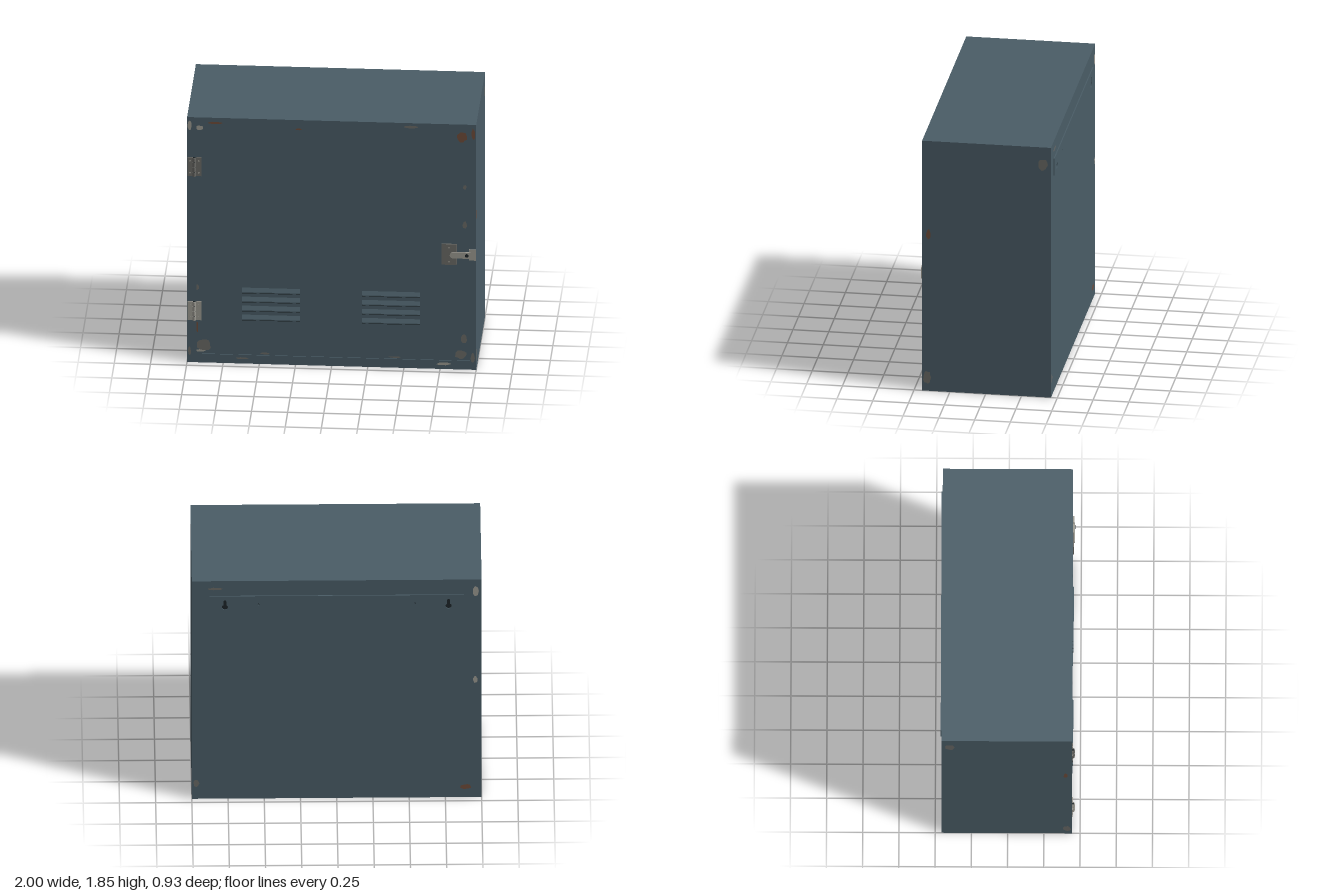
import * as THREE from 'three';

const W = 2, H = 1.85, BACK = -0.456, DOOR = 0.438, FRONT = 0.444;
const mat = (color) => new THREE.MeshStandardMaterial({ color });
const paint = mat(0x4a5d67), steel = mat(0x6a6a66), bright = mat(0x9c9a92);
const rust = mat(0x6e4c3a), dark = mat(0x1c2428);

function add(parent, name, geometry, material, x = 0, y = 0, z = 0) {
  const mesh = new THREE.Mesh(geometry, material);
  mesh.name = name;
  mesh.position.set(x, y, z);
  parent.add(mesh);
  return mesh;
}

// Box given by its limits
function block(parent, name, material, x0, x1, y0, y1, z0, z1) {
  return add(parent, name, new THREE.BoxGeometry(x1 - x0, y1 - y0, z1 - z0), material,
    (x0 + x1) / 2, (y0 + y1) / 2, (z0 + z1) / 2);
}

function group(parent, name) {
  const g = new THREE.Group();
  g.name = name;
  parent.add(g);
  return g;
}

function rect(x0, x1, y0, y1, Type = THREE.Shape) {
  return new Type([[x0, y0], [x1, y0], [x1, y1], [x0, y1]].map(p => new THREE.Vector2(...p)));
}

const extrude = (shape, depth) =>
  new THREE.ExtrudeGeometry(shape, { depth, bevelEnabled: false, curveSegments: 12 });

let seed = 7;
const random = () => (seed = (seed * 16807) % 2147483647) / 2147483647;

// Ragged flat flake of worn paint, facing +z
function flake(parent, material, x, y, w, h, z) {
  const points = [];
  for (let i = 0; i < 14; i++) {
    const a = i / 14 * Math.PI * 2, r = 0.42 + 0.16 * random();
    points.push(new THREE.Vector2(Math.cos(a) * w * r, Math.sin(a) * h * r));
  }
  add(parent, 'wornPaint', new THREE.ShapeGeometry(new THREE.Shape(points)), material, x, y, z);
}

function screw(parent, x, y, z) {
  add(parent, 'screw', new THREE.CylinderGeometry(0.006, 0.006, 0.003, 8), bright, x, y, z).rotation.x = Math.PI / 2;
}

// Hinge: two leaves, knuckled barrel, screws
function hinge(parent, y, material) {
  const g = group(parent, 'hinge');
  block(g, 'frameLeaf', material, -0.998, -0.953, y - 0.07, y + 0.07, DOOR, 0.449);
  block(g, 'doorLeaf', material, -0.947, -0.9, y - 0.07, y + 0.07, DOOR, 0.449);
  for (let i = 0; i < 4; i++)
    add(g, 'knuckle', new THREE.CylinderGeometry(0.012, 0.012, 0.032, 12), material, -0.95, y + (i - 1.5) * 0.036, 0.451);
  add(g, 'pin', new THREE.CylinderGeometry(0.008, 0.008, 0.145, 10), dark, -0.95, y, 0.451);
  for (const x of [-0.98, -0.918])
    for (const dy of [-0.045, 0.045]) screw(g, x, y + dy, 0.45);
}

// Keyhole outline: wide round below, narrow slot above
function keyhole(x, y) {
  const p = new THREE.Path();
  p.absarc(x, y, 0.021, Math.PI * 0.65, Math.PI * 2.35, false);
  p.lineTo(x + 0.0095, y + 0.05);
  p.absarc(x, y + 0.05, 0.0095, 0, Math.PI, false);
  p.closePath();
  return p;
}

export function createModel() {
  const model = new THREE.Group();
  model.name = 'wallCabinet';

  // Case with a raised frame around the door
  block(model, 'case', paint, -W / 2, W / 2, 0, H, BACK, DOOR);
  const frame = rect(-W / 2, W / 2, 0, H);
  frame.holes.push(rect(-0.935, 0.96, 0.065, 1.79, THREE.Path));
  add(model, 'doorFrame', extrude(frame, FRONT - DOOR), paint, 0, 0, DOOR);

  // Louvres: sloping hoods open at the bottom
  const hood = new THREE.Shape([[0, 0.018], [-0.012, -0.01], [-0.012, -0.017], [0, -0.017]]
    .map(p => new THREE.Vector2(...p)));
  for (const x of [-0.62, 0.21]) {
    const vents = group(model, 'ventLouvres');
    for (let i = 0; i < 4; i++) {
      const y = 0.553 - i * 0.068;
      add(vents, 'louvre', extrude(hood, 0.4), paint, x, y, DOOR).rotation.y = Math.PI / 2;
      block(vents, 'louvreSlot', dark, x, x + 0.4, y - 0.021, y - 0.016, DOOR, DOOR + 0.01);
    }
  }

  hinge(model, 1.478, steel);
  hinge(model, 0.39, bright);

  // Hasp latch
  const latch = group(model, 'latch');
  block(latch, 'latchPlate', steel, 0.76, 0.865, 0.79, 0.945, DOOR, 0.449);
  block(latch, 'haspBar', bright, 0.835, 0.96, 0.842, 0.888, 0.444, 0.456);
  add(latch, 'haspEnd', new THREE.CylinderGeometry(0.023, 0.023, 0.012, 16), bright, 0.84, 0.865, 0.45).rotation.x = Math.PI / 2;
  block(latch, 'catch', bright, 0.952, 0.998, 0.828, 0.91, 0.444, 0.453);
  add(latch, 'rivet', new THREE.CylinderGeometry(0.013, 0.013, 0.006, 12), dark, 0.935, 0.865, 0.456).rotation.x = Math.PI / 2;
  for (const y of [0.815, 0.92]) screw(latch, 0.812, y, 0.45);

  // Rear mounting rail with keyholes and screw holes
  const rear = group(model, 'rear');
  rear.rotation.y = Math.PI;
  const rail = rect(-0.877, 0.877, 1.6, 1.725);
  for (const s of [-1, 1]) {
    rail.holes.push(keyhole(s * 0.772, 1.632));
    const hole = new THREE.Path();
    hole.absarc(s * 0.54, 1.655, 0.007, 0, Math.PI * 2, false);
    rail.holes.push(hole);
    block(rear, 'keyholeBacking', dark, s * 0.772 - 0.03, s * 0.772 + 0.03, 1.607, 1.7, 0.455, 0.457);
    block(rear, 'screwHoleBacking', dark, s * 0.54 - 0.01, s * 0.54 + 0.01, 1.645, 1.665, 0.455, 0.457);
  }
  add(rear, 'mountingRail', extrude(rail, 0.007), paint, 0, 0, 0.456);

  // Worn paint on the front
  const wear = group(model, 'frontWear');
  [
    [bright, -0.982, 1.79, 0.028, 0.07], [bright, -0.915, 1.77, 0.05, 0.035], [rust, -0.81, 1.812, 0.1, 0.016],
    [rust, -0.23, 1.778, 0.05, 0.012], [steel, 0.55, 1.822, 0.1, 0.02], [rust, 0.9, 1.752, 0.07, 0.075],
    [rust, 0.98, 1.78, 0.025, 0.08], [steel, 0.92, 1.375, 0.025, 0.035], [steel, 0.92, 1.09, 0.028, 0.055],
    [steel, -0.93, 0.565, 0.022, 0.045], [rust, -0.93, 0.265, 0.014, 0.08], [steel, -0.885, 0.13, 0.095, 0.085],
    [bright, -0.905, 0.088, 0.065, 0.02], [steel, -0.62, 0.04, 0.09, 0.014], [steel, -0.46, 0.078, 0.06, 0.014],
    [steel, 0.44, 0.078, 0.085, 0.014], [bright, 0.775, 0.04, 0.1, 0.02], [steel, 0.895, 0.11, 0.08, 0.07],
    [steel, 0.977, 0.09, 0.028, 0.07], [steel, 0.915, 0.23, 0.038, 0.065], [steel, -0.983, 0.085, 0.02, 0.06],
  ].forEach(([m, x, y, w, h]) => {
    const onDoor = x > -0.935 && x < 0.96 && y > 0.065 && y < 1.79;
    flake(wear, m, x, y, w, h, (onDoor ? DOOR : FRONT) + 0.0015);
  });

  // Worn paint on the back
  [
    [bright, 0.96, 1.75, 0.04, 0.085], [bright, 0.955, 1, 0.03, 0.06], [rust, 0.89, 0.09, 0.08, 0.04],
    [steel, -0.97, 0.13, 0.04, 0.06], [steel, -0.84, 1.785, 0.1, 0.02],
  ].forEach(([m, x, y, w, h]) => flake(rear, m, x, y, w, h, 0.4575));

  // Worn paint on both sides
  for (const s of [-1, 1]) {
    const side = group(model, s > 0 ? 'leftWear' : 'rightWear');
    side.rotation.y = s * Math.PI / 2;
    [[steel, 0.4, 1.72, 0.065, 0.09], [rust, -0.4, 1.16, 0.03, 0.08], [steel, -0.41, 0.1, 0.055, 0.09]]
      .forEach(([m, x, y, w, h]) => flake(side, m, s * x, y, w, h, 1.001));
  }
  return model;
}
